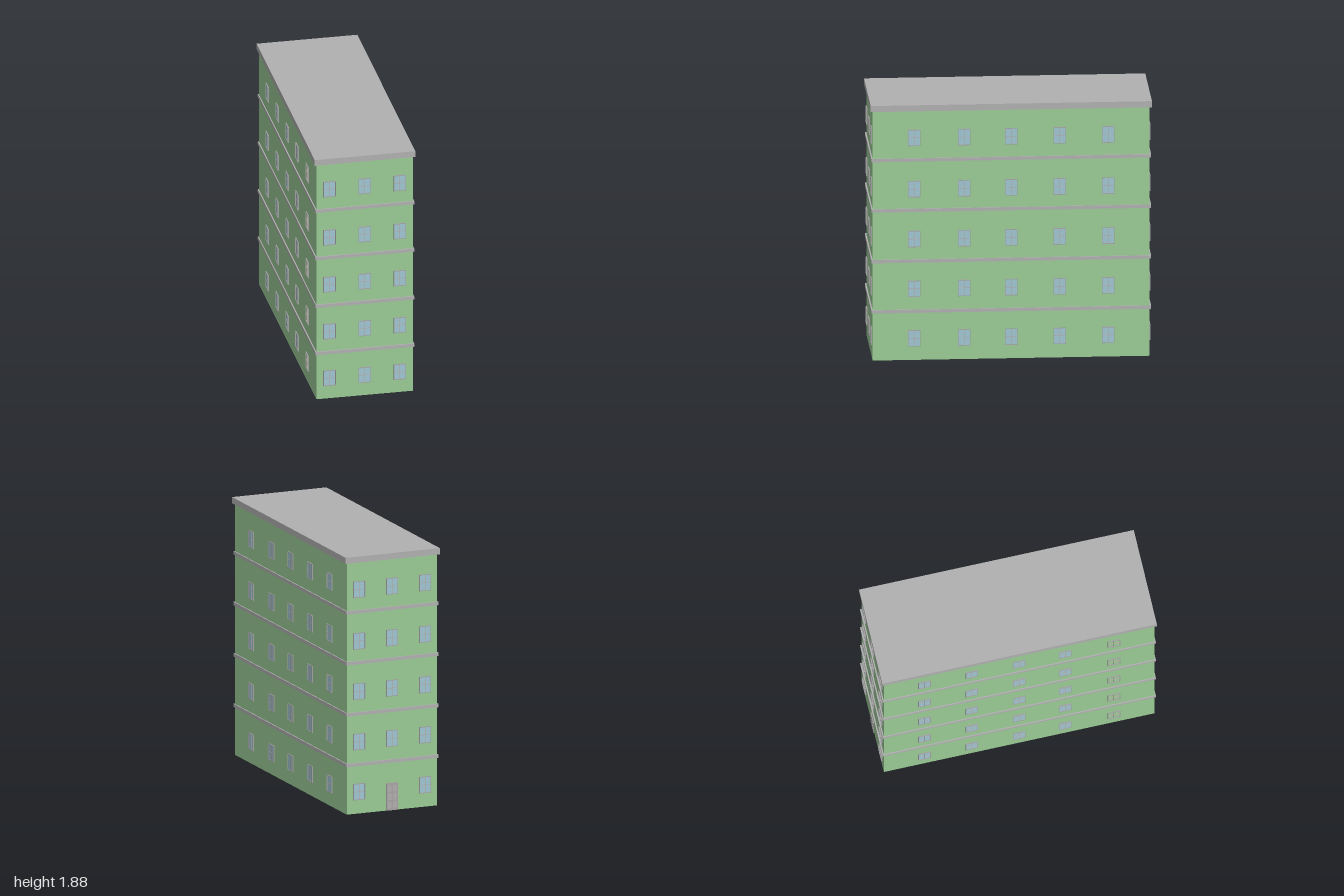
import * as THREE from 'three';

const HW = 0.35, HD = 0.985, WALL_H = 1.84;
const mat = (color, side = THREE.FrontSide) => new THREE.MeshStandardMaterial({ color, side });
const MAT = {
  wall: mat(0x9acb95, THREE.DoubleSide),
  trim: mat(0xb0b0b0),
  frame: mat(0xa0a0a0),
  glass: mat(0x9fc5d2),
  bar: mat(0xb5a8a2),
  door: mat(0xaaa3a3),
};

function add(parent, name, geometry, material, x = 0, y = 0, z = 0) {
  const m = new THREE.Mesh(geometry, material);
  m.name = name;
  m.position.set(x, y, z);
  parent.add(m);
  return m;
}

// Rectangular ring in the XY plane, extruded along z and centred
function ringGeometry(w, h, innerW, innerH, depth) {
  const corners = (a, b) => [[-a, -b], [a, -b], [a, b], [-a, b]].map(([x, y]) => new THREE.Vector2(x / 2, y / 2));
  const shape = new THREE.Shape(corners(w, h));
  shape.holes.push(new THREE.Path(corners(innerW, innerH).reverse()));
  return new THREE.ExtrudeGeometry(shape, { depth, bevelEnabled: false }).translate(0, 0, -depth / 2);
}

const WIN_W = 0.09, WIN_H = 0.12;
const GEO = {
  frame: ringGeometry(WIN_W, WIN_H, WIN_W - 0.008, WIN_H - 0.008, 0.016),
  glass: new THREE.PlaneGeometry(WIN_W - 0.008, WIN_H - 0.008),
  mullion: new THREE.BoxGeometry(0.003, WIN_H - 0.008, 0.01),
  transom: new THREE.BoxGeometry(WIN_W - 0.008, 0.003, 0.01),
};

// Framed window straddling the wall; glass faces outward, or inward when flipped
function makeWindow(flipped) {
  const g = new THREE.Group();
  g.name = 'window';
  add(g, 'windowFrame', GEO.frame, MAT.frame);
  add(g, 'windowGlass', GEO.glass, MAT.glass, 0, 0, 0.003);
  add(g, 'windowMullion', GEO.mullion, MAT.bar);
  add(g, 'windowTransom', GEO.transom, MAT.bar);
  if (flipped) g.rotation.y = Math.PI;
  return g;
}

// Door slab with raised panels and a knob
function makeDoor() {
  const g = new THREE.Group();
  g.name = 'door';
  add(g, 'doorSlab', new THREE.BoxGeometry(0.09, 0.2, 0.01), MAT.door, 0, 0.1, 0.001);
  const panel = new THREE.BoxGeometry(0.026, 0.045, 0.003);
  for (const x of [-0.021, 0.021])
    for (const y of [0.04, 0.1, 0.16]) add(g, 'doorPanel', panel, MAT.trim, x, y, 0.006);
  add(g, 'doorKnob', new THREE.SphereGeometry(0.004, 10, 8), MAT.frame, 0.04, 0.09, 0.008);
  return g;
}

export function createModel() {
  const model = new THREE.Group();
  model.name = 'apartmentBlock';

  const floors = [0.16, 0.525, 0.892, 1.26, 1.637];
  const shortCols = [-0.255, 0, 0.255];
  const longCols = [-0.69, -0.335, 0, 0.345, 0.69];
  const sides = [
    { name: 'front', angle: 0, width: HW * 2, dist: HD, cols: shortCols },
    { name: 'back', angle: Math.PI, width: HW * 2, dist: HD, cols: shortCols, door: true },
    { name: 'left', angle: Math.PI / 2, width: HD * 2, dist: HW, cols: longCols },
    { name: 'right', angle: -Math.PI / 2, width: HD * 2, dist: HW, cols: longCols.map((c) => -c).reverse(), flipLast: true },
  ];

  // Four thin walls, open underneath, each with its grid of windows
  for (const s of sides) {
    const side = new THREE.Group();
    side.name = s.name + 'Side';
    side.rotation.y = s.angle;
    add(side, s.name + 'Wall', new THREE.PlaneGeometry(s.width, WALL_H), MAT.wall, 0, WALL_H / 2, s.dist);
    floors.forEach((y, floor) => s.cols.forEach((x, col) => {
      if (s.door && floor === 0 && x === 0) return;
      const w = makeWindow(s.flipLast && col === s.cols.length - 1);
      w.position.set(x, y, s.dist);
      side.add(w);
    }));
    if (s.door) {
      const door = makeDoor();
      door.position.z = s.dist;
      side.add(door);
    }
    model.add(side);
  }

  // String courses between the storeys
  const band = ringGeometry(0.716, 1.99, 0.69, 1.96, 0.024).rotateX(-Math.PI / 2);
  for (const y of [0.36, 0.73, 1.104, 1.475]) add(model, 'floorBand', band, MAT.trim, 0, y, 0);

  // Flat roof slab
  add(model, 'roof', new THREE.BoxGeometry(0.73, 0.045, 2), MAT.trim, 0, 1.8575, 0);
  return model;
}
